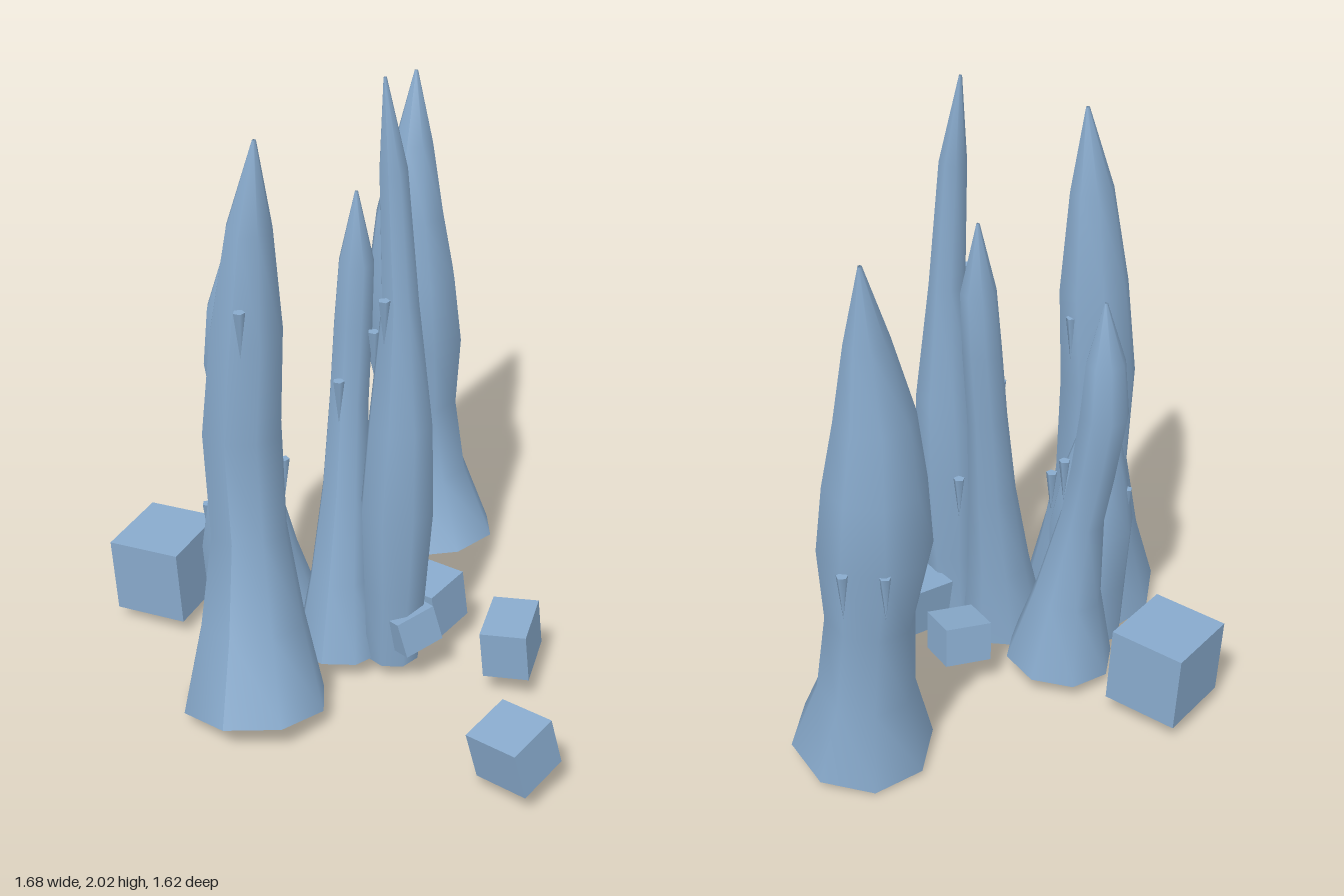
import * as THREE from 'three';

// Each spire is a list of rings: [y, centre x, centre z, radius], from base to tip
const SPIRES = {
  frontSpire: [[0.03, -0.175, 0.57, 0.236], [0.3, -0.2, 0.515, 0.172], [0.6, -0.225, 0.47, 0.124], [0.95, -0.243, 0.458, 0.127],
    [1.27, -0.222, 0.448, 0.115], [1.6, -0.205, 0.443, 0.072], [1.87, -0.185, 0.434, 0.006]],
  backSpire: [[0.03, 0, -0.578, 0.228], [0.28, -0.04, -0.605, 0.155], [0.55, -0.068, -0.613, 0.14], [0.8, -0.088, -0.607, 0.177],
    [1.03, -0.1, -0.617, 0.157], [1.25, -0.108, -0.62, 0.122], [1.5, -0.105, -0.645, 0.068], [1.74, -0.112, -0.677, 0.006]],
  tallSpire: [[0.04, 0.14, 0.18, 0.09], [0.3, 0.148, 0.18, 0.105], [0.6, 0.152, 0.172, 0.121], [0.9, 0.158, 0.162, 0.105],
    [1.3, 0.152, 0.154, 0.06], [1.72, 0.126, 0.15, 0.045], [2.0, 0.098, 0.15, 0.005]],
  slenderSpire: [[0.04, -0.035, 0.215, 0.145], [0.3, -0.04, 0.175, 0.105], [0.6, -0.042, 0.125, 0.08], [0.9, -0.046, 0.085, 0.066],
    [1.15, -0.042, 0.058, 0.064], [1.36, -0.035, 0.045, 0.058], [1.59, -0.037, 0.038, 0.005]],
  sideSpire: [[0.04, -0.305, 0.14, 0.182], [0.3, -0.33, 0.14, 0.115], [0.6, -0.375, 0.14, 0.075], [0.8, -0.41, 0.143, 0.076],
    [1.0, -0.438, 0.146, 0.08], [1.18, -0.435, 0.148, 0.064], [1.38, -0.428, 0.148, 0.005]],
  shortSpire: [[0.04, -0.3, 0.33, 0.125], [0.25, -0.305, 0.325, 0.135], [0.47, -0.31, 0.325, 0.145], [0.68, -0.315, 0.33, 0.105],
    [0.88, -0.325, 0.34, 0.05], [1.05, -0.33, 0.345, 0.006]],
};

// Blocks: position, size, rotation
const BLOCKS = [
  [[-0.7, 0.165, 0.14], [0.255, 0.26, 0.275], [0.02, -0.06, 0.05]],
  [[0.53, 0.158, 0.125], [0.15, 0.165, 0.205], [0.05, 0.1, 0.08]],
  [[0.705, 0.148, 0.64], [0.19, 0.165, 0.175], [0.22, -0.36, 0.2]],
  [[0.2, 0.16, 0.01], [0.19, 0.17, 0.17], [0.1, -0.3, 0.1]],
  [[0.22, 0.18, 0.215], [0.11, 0.12, 0.14], [0.2, -0.6, 0.35]],
  [[-0.05, 0.15, -0.09], [0.165, 0.13, 0.16], [0.1, -0.6, -0.12]],
];

// Thorns: x, y of the wide top, z
const THORNS = [
  [-0.19, 1.39, 0.56], [-0.2, 1.19, 0.345], [-0.28, 1.07, 0.36], [0.13, 1.34, 0.235], [0.065, 1.19, 0.155],
  [-0.05, 1.0, 0.16], [0, 1.13, 0.07], [0.03, 0.67, 0.035], [-0.37, 0.79, 0.29], [-0.41, 0.6, 0.38],
  [-0.31, 0.8, 0.13], [-0.23, 0.7, 0.19], [-0.1, 1.19, -0.495], [-0.1, 0.8, -0.79], [-0.21, 0.8, -0.73],
];

// Eight-sided lathe whose rings are shifted along a leaning centre line and tilted square to it
function spireGeometry(rings) {
  const sides = 8;
  const geometry = new THREE.LatheGeometry(rings.map(([y, , , r]) => new THREE.Vector2(r, y)), sides);
  const position = geometry.attributes.position;
  for (let i = 0; i < position.count; i++) {
    const k = i % rings.length;
    const [y, cx, cz] = rings[k];
    const a = rings[Math.max(k - 1, 0)], b = rings[Math.min(k + 1, rings.length - 1)];
    const slopeX = (b[1] - a[1]) / (b[0] - a[0]), slopeZ = (b[2] - a[2]) / (b[0] - a[0]);
    const dx = position.getX(i), dz = position.getZ(i);
    position.setXYZ(i, cx + dx, y - dx * slopeX - dz * slopeZ, cz + dz);
  }
  geometry.computeVertexNormals();
  return geometry;
}

export function createModel() {
  const model = new THREE.Group();
  const ice = new THREE.MeshStandardMaterial({ color: 0x88aacc, side: THREE.DoubleSide });
  ice.name = 'ice blue';

  const add = (name, geometry) => {
    const mesh = new THREE.Mesh(geometry, ice);
    mesh.name = name;
    model.add(mesh);
    return mesh;
  };

  // Leaning hollow spires
  for (const [name, rings] of Object.entries(SPIRES)) add(name, spireGeometry(rings));

  // Loose blocks around the foot
  BLOCKS.forEach(([place, size, turn], i) => {
    const block = add('block' + (i + 1), new THREE.BoxGeometry(...size));
    block.position.set(...place);
    block.rotation.set(...turn);
  });

  // Small thorns hanging point down from the spires
  const thorn = new THREE.ConeGeometry(0.019, 0.15, 5).rotateX(Math.PI).translate(0, -0.075, 0);
  THORNS.forEach((place, i) => add('thorn' + (i + 1), thorn).position.set(...place));

  return model;
}
